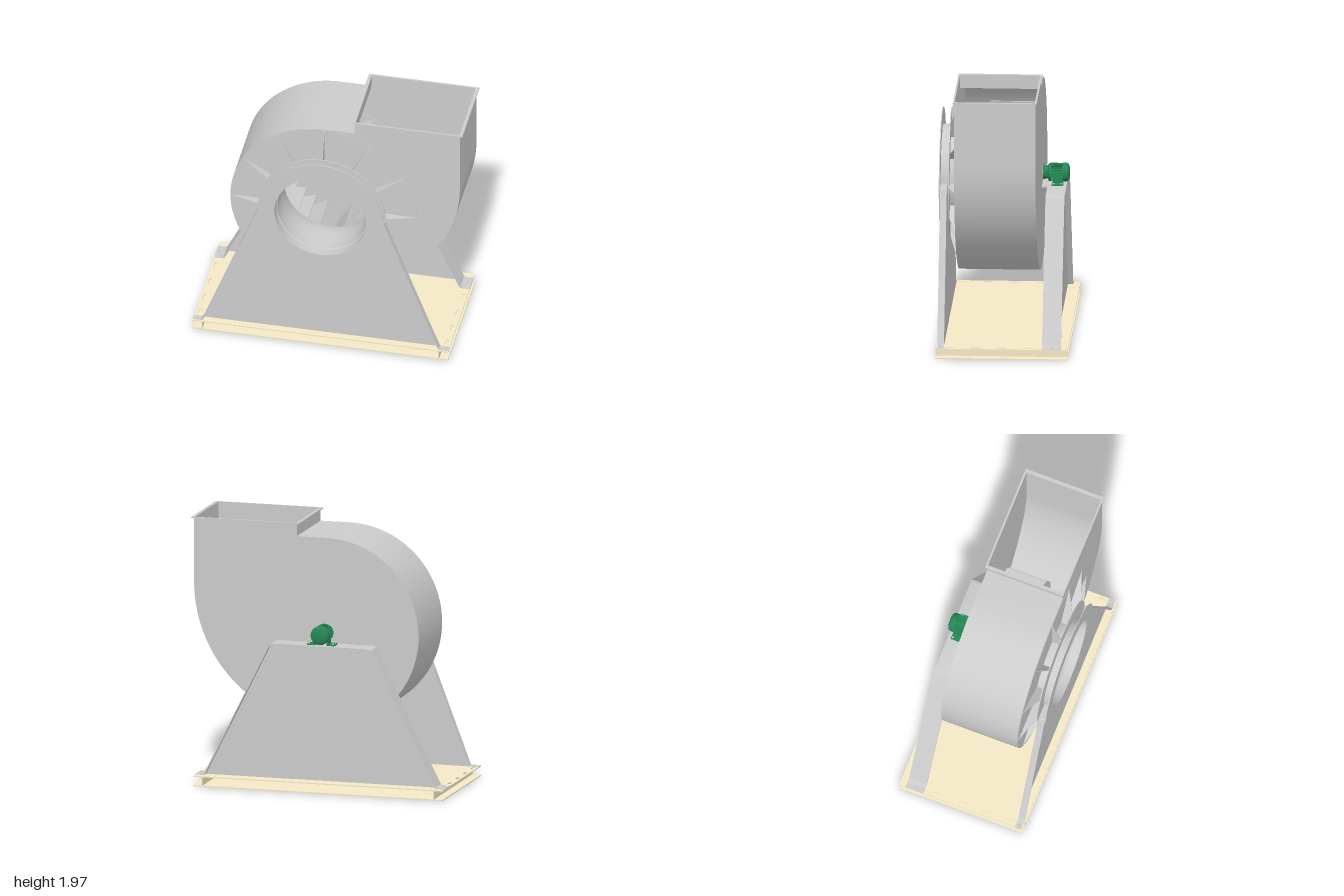
import * as THREE from 'three';
import { toCreasedNormals } from 'three/addons/utils/BufferGeometryUtils.js';

const AXIS_Y = 1.17; // height of the fan shaft
const paint = (color) => new THREE.MeshStandardMaterial({ color, side: THREE.DoubleSide });

export function createModel() {
  const model = new THREE.Group();
  model.name = 'centrifugalFan';
  model.position.x = -0.04; // the shaft lies on local x = 0
  const grey = paint(0xcccccc), tan = paint(0xf3e9c6), green = paint(0x258755);

  const add = (parent, name, geometry, material = grey, x = 0, y = 0, z = 0) => {
    const mesh = new THREE.Mesh(geometry, material);
    mesh.name = name;
    mesh.position.set(x, y, z);
    parent.add(mesh);
    return mesh;
  };
  const group = (name, y = 0) => {
    const g = new THREE.Group();
    g.name = name;
    g.position.y = y;
    model.add(g);
    return g;
  };
  const V = (x, y) => new THREE.Vector2(x, y);
  const extrude = (shape, depth) => toCreasedNormals(
    new THREE.ExtrudeGeometry(shape, { depth, bevelEnabled: false, curveSegments: 48 }), 0.5);
  // sheet-metal strip following a polyline, thickened to its left
  const strip = (pts, t, depth) => {
    const inner = pts.map((p, i) => {
      const d = pts[Math.min(i + 1, pts.length - 1)].clone().sub(pts[Math.max(i - 1, 0)]).normalize();
      return V(p.x - d.y * t, p.y + d.x * t);
    });
    return extrude(new THREE.Shape([...pts, ...inner.reverse()]), depth);
  };
  const arc = (cx, cy, r, a0, a1, n) => Array.from({ length: n + 1 }, (_, i) => {
    const a = a0 + (a1 - a0) * i / n;
    return V(cx + r * Math.cos(a), cy + r * Math.sin(a));
  });
  const hole = (shape, x, y, r) => shape.holes.push(new THREE.Path().absarc(x, y, r, 0, Math.PI * 2, true));
  // flat ring with an optional circle of bolt holes
  const ring = (outer, inner, depth, bolts = 0, boltR = 0) => {
    const s = new THREE.Shape().absarc(0, 0, outer, 0, Math.PI * 2);
    hole(s, 0, 0, inner);
    for (let i = 0; i < bolts; i++) {
      const a = i / bolts * Math.PI * 2;
      s.holes.push(new THREE.Path(arc(boltR * Math.cos(a), boltR * Math.sin(a), 0.008, 0, -Math.PI * 2, 10)));
    }
    return extrude(s, depth);
  };
  // turned part along z from [radius, z] pairs
  const turned = (pairs, seg = 64) => toCreasedNormals(
    new THREE.LatheGeometry(pairs.map(([r, z]) => V(r, z)), seg).rotateX(Math.PI / 2), 0.5);
  const rod = (r, len, seg = 24) => new THREE.CylinderGeometry(r, r, len, seg).rotateX(Math.PI / 2);

  // Base: two plates joined by side channels
  const base = group('base');
  const topPlate = new THREE.Shape([V(-0.96, -0.485), V(0.96, -0.485), V(0.96, 0.488), V(-0.96, 0.488)]);
  for (const x of [-0.93, 0.93]) for (const y of [0.2, 0, -0.19, -0.38]) {
    topPlate.holes.push(new THREE.Path([
      ...arc(x, y + 0.025, 0.011, 0, Math.PI, 6), ...arc(x, y - 0.025, 0.011, Math.PI, Math.PI * 2, 6)]));
  }
  add(base, 'topPlate', extrude(topPlate, 0.008).rotateX(-Math.PI / 2), tan, 0, 0.07);
  add(base, 'bottomPlate', new THREE.BoxGeometry(1.92, 0.008, 0.973), tan, 0, 0.004, -0.001);
  for (const x of [-0.89, 0.89]) {
    add(base, 'sideChannel', new THREE.BoxGeometry(0.008, 0.062, 0.973), tan, x, 0.039, -0.001);
  }

  // Spiral casing: small arc at the left, large arc rising to the outlet
  const casing = group('casing');
  const z0 = -0.255, z1 = 0.345, PI = Math.PI;
  const outline = [
    V(0.23, 1.97), V(0.23, 1.875),
    ...arc(0, AXIS_Y, 0.705, PI / 2, PI * 1.5, 48),
    ...arc(0, 1.485, 1.02, PI * 1.5, PI * 2, 36).slice(1),
    V(1.02, 1.97)];
  add(casing, 'scrollWall', strip(outline, 0.006, z1 - z0), grey, 0, 0, z0);
  add(casing, 'backPlate', extrude(new THREE.Shape(outline), 0.005), grey, 0, 0, z0);
  const front = new THREE.Shape(outline);
  hole(front, 0, AXIS_Y, 0.36);
  add(casing, 'frontPlate', extrude(front, 0.005), grey, 0, 0, z1 - 0.005);
  const frame = new THREE.Shape([V(0.21, -0.353), V(1.04, -0.353), V(1.04, 0.265), V(0.21, 0.265)]);
  frame.holes.push(new THREE.Path([V(0.235, -0.34), V(0.235, 0.25), V(1.015, 0.25), V(1.015, -0.34)]));
  add(casing, 'outletFlange', extrude(frame, 0.008).rotateX(-PI / 2), grey, 0, 1.966);

  // Inlet: cover, flanges, nozzle and stiffening gussets
  const inlet = group('inlet', AXIS_Y);
  add(inlet, 'inletCover', ring(0.698, 0.355, 0.003), grey, 0, 0, z1);
  add(inlet, 'rearFlange', ring(0.475, 0.345, 0.008), grey, 0, 0, 0.41);
  add(inlet, 'frontFlange', ring(0.475, 0.345, 0.008, 12, 0.41), grey, 0, 0, 0.477);
  add(inlet, 'inletCollar', turned([[0.36, z1], [0.36, 0.412], [0.35, 0.412], [0.35, 0.48]], 96));
  add(inlet, 'inletNozzle', turned(
    [[0.345, 0.485], [0.345, 0.415], [0.338, 0.41], [0.338, 0.33], [0.333, 0.27], [0.33, 0.21],
      [0.334, 0.16], [0.345, 0.125]], 96));
  const gusset = new THREE.Shape([V(0.36, z1), V(0.705, z1), V(0.475, 0.414), V(0.36, 0.414)]);
  for (let i = 0; i < 12; i++) {
    add(inlet, 'gusset', extrude(gusset, 0.006).rotateX(PI / 2).translate(0, 0.003, 0)).rotation.z = i * PI / 6;
  }

  // Impeller with flat backward-leaning blades
  const impeller = group('impeller', AXIS_Y);
  add(impeller, 'backDisc', rod(0.525, 0.006, 72), grey, 0, 0, -0.19);
  add(impeller, 'shroud', ring(0.525, 0.35, 0.004), grey, 0, 0, 0.126);
  for (let i = 0; i < 24; i++) {
    const a = i * PI / 12;
    const tip = V(0.522 * Math.cos(a), 0.522 * Math.sin(a));
    const root = V(0.36 * Math.cos(a + 0.3), 0.36 * Math.sin(a + 0.3));
    const span = tip.clone().sub(root), mid = tip.clone().add(root).multiplyScalar(0.5);
    add(impeller, 'blade', new THREE.BoxGeometry(span.length(), 0.005, 0.315), grey, mid.x, mid.y, -0.03)
      .rotation.z = span.angle();
  }
  add(impeller, 'hub', turned(
    [[0.115, -0.188], [0.115, -0.172], [0.042, -0.172], [0.042, -0.15], [0.025, -0.15], [0.025, -0.14], [0, -0.14]], 48));
  for (let i = 0; i < 6; i++) {
    const a = i * PI / 3 + 0.25;
    add(impeller, 'hubBolt', rod(0.009, 0.012, 12), grey, 0.083 * Math.cos(a), 0.083 * Math.sin(a), -0.168);
  }
  add(impeller, 'shaft', rod(0.02, 0.14), grey, 0, 0, -0.23);

  // Front pedestal: plate notched around the inlet, folded side edges and shoulders
  const frontPedestal = group('frontPedestal');
  const notched = new THREE.Shape()
    .moveTo(-0.885, 0.08).lineTo(0.885, 0.08).lineTo(0.475, AXIS_Y).lineTo(0.352, AXIS_Y)
    .absarc(0, AXIS_Y, 0.352, 0, -PI, true).lineTo(-0.475, AXIS_Y);
  add(frontPedestal, 'plate', extrude(notched, 0.006), grey, 0, 0, 0.425);
  const foot = [V(0.96, 0.08), V(0.91, 0.08), V(0.89, 0.088), V(0.878, 0.11)];
  const mirrored = (pts) => pts.map((p) => V(-p.x, p.y)).reverse();
  const leg = [...foot, V(0.475, AXIS_Y - 0.006), V(0.465, AXIS_Y), V(0.352, AXIS_Y)];
  add(frontPedestal, 'foldedEdge', strip(mirrored(leg), 0.008, 0.05), grey, 0, 0, 0.425);
  add(frontPedestal, 'foldedEdge', strip(leg, 0.008, 0.05), grey, 0, 0, 0.425);

  // Rear pedestal: plate with one folded edge running over the top
  const rearPedestal = group('rearPedestal');
  const half = [...foot, V(0.405, 1.06), V(0.39, 1.085), V(0.36, 1.095)];
  add(rearPedestal, 'foldedEdge', strip([...half, ...mirrored(half)], 0.008, 0.14), grey, 0, 0, -0.437);
  const web = half.slice(2);
  add(rearPedestal, 'plate', extrude(new THREE.Shape(
    [V(0.885, 0.08), ...web, ...mirrored(web), V(-0.885, 0.08)]), 0.006), grey, 0, 0, -0.398);
  for (const x of [-0.93, 0.93]) for (const z of [-0.37, 0.45]) {
    add(base, 'footBolt', new THREE.CylinderGeometry(0.011, 0.011, 0.004, 16), grey, x, 0.089, z);
  }
  add(rearPedestal, 'motorBracket', new THREE.BoxGeometry(0.21, 0.006, 0.05), grey, 0, 1.088, -0.277);

  // Motor: finned body, end bell, fan cover and feet
  const motor = group('motor', AXIS_Y + 0.005);
  add(motor, 'motorBody', turned([
    [0, -0.455], [0.045, -0.455], [0.062, -0.448], [0.07, -0.435], [0.07, -0.405], [0.056, -0.405],
    [0.056, -0.32], [0.066, -0.32], [0.066, -0.305], [0.05, -0.295], [0.045, -0.275], [0.052, -0.275],
    [0.052, -0.262], [0, -0.262]], 40), green);
  for (let i = 0; i < 24; i++) {
    const a = i * PI / 12;
    add(motor, 'coolingFin', new THREE.BoxGeometry(0.016, 0.004, 0.09), green,
      0.06 * Math.cos(a), 0.06 * Math.sin(a), -0.363).rotation.z = a;
  }
  for (const s of [-1, 1]) {
    add(motor, 'motorFoot', new THREE.BoxGeometry(0.06, 0.01, 0.085), green, s * 0.075, -0.073, -0.37);
    add(motor, 'footWeb', new THREE.BoxGeometry(0.012, 0.05, 0.075), green, s * 0.05, -0.05, -0.37);
    for (const z of [-0.4, -0.34]) {
      add(motor, 'motorBolt', new THREE.CylinderGeometry(0.007, 0.007, 0.012, 6), grey, s * 0.092, -0.067, z);
    }
  }
  return model;
}
